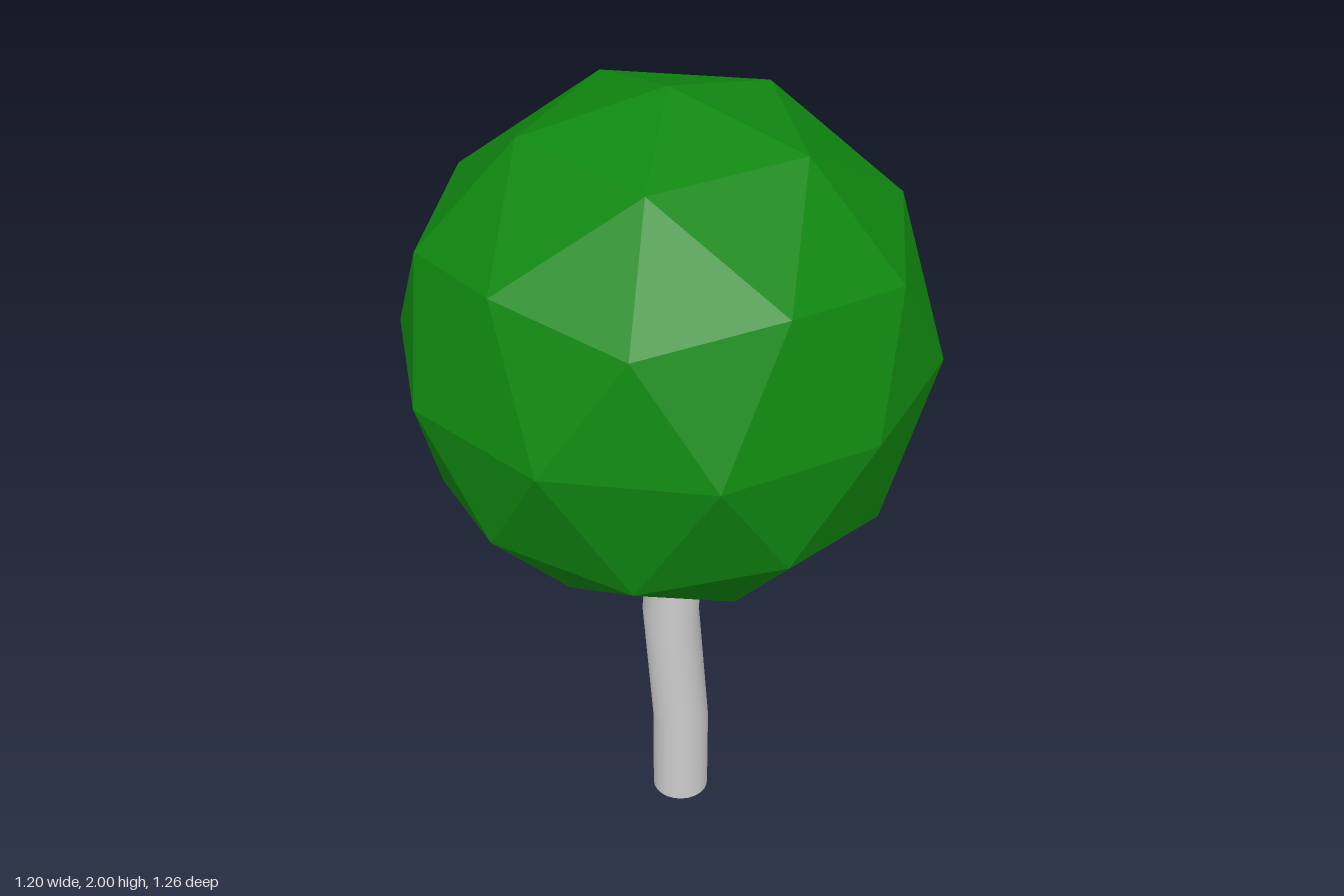
import * as THREE from 'three';

const R = 0.63, CENTRE_Y = 1.37;
const leafGreen = new THREE.MeshStandardMaterial({ name: 'leafGreen', color: 0x108810 });
const darkGreen = new THREE.MeshStandardMaterial({ name: 'darkGreen', color: 0x0a4410 });
const barkGrey = new THREE.MeshStandardMaterial({ name: 'barkGrey', color: 0xcccccc });

// Faceted ball with a corner at the top and an upper corner towards +x
function makeCrown() {
  const geo = new THREE.IcosahedronGeometry(R, 1);
  geo.rotateZ(Math.atan(2 / (1 + Math.sqrt(5))));
  geo.rotateY(Math.PI);
  geo.computeVertexNormals(); // unshared corners give flat facets
  const mesh = new THREE.Mesh(geo, leafGreen);
  mesh.name = 'crown';
  return mesh;
}

// Corner of the ball from azimuth (from +x towards +z) and latitude, in degrees
function corner(azimuth, latitude) {
  const a = THREE.MathUtils.degToRad(azimuth), l = THREE.MathUtils.degToRad(latitude);
  return new THREE.Vector3(Math.cos(l) * Math.cos(a), Math.sin(l), Math.cos(l) * Math.sin(a)).multiplyScalar(R);
}

// Dark patch lying on the facets at the back right
function makePatch() {
  const E = corner(-54, 0), V = corner(-36, -26.57), W = corner(-72, -31.72);
  const M = corner(-36, -58.28), N = corner(-108, -58.28), pole = corner(0, -90);
  const mix = (e, v, w) => new THREE.Vector3().addScaledVector(E, e).addScaledVector(V, v).addScaledVector(W, w);
  const A = mix(0.04, 0.84, 0.12), B = mix(0.22, 0.19, 0.59), E2 = mix(0.93, 0, 0.07);
  const A2 = V.clone().lerp(W, 0.14), M2 = M.clone().lerp(W, 0.07), M3 = M.clone().lerp(N, 0.07);
  const tip = M.clone().lerp(pole, 0.2);
  const triangles = [
    V, A, B, V, B, E2, V, E2, E, // broad part
    V, A2, A,
    V, M, M2, V, M2, A2,         // narrow tail
    M, M3, M2, M, tip, M3,
  ];
  const geo = new THREE.BufferGeometry().setFromPoints(triangles.map((p) => p.clone().multiplyScalar(1.004)));
  geo.computeVertexNormals();
  const mesh = new THREE.Mesh(geo, darkGreen);
  mesh.name = 'darkPatch';
  return mesh;
}

// Round trunk, bent by moving its rings
function makeTrunk() {
  const rings = [[0.02, 0, 0.027], [0.02, 0.235, 0.027], [0.01, 0.58, 0], [0.017, 0.85, 0.015]];
  const last = rings.length - 1;
  const geo = new THREE.CylinderGeometry(0.071, 0.071, last, 24, last);
  const pos = geo.attributes.position;
  for (let i = 0; i < pos.count; i++) {
    const [x, y, z] = rings[Math.round(pos.getY(i) + last / 2)];
    pos.setXYZ(i, pos.getX(i) + x, y, pos.getZ(i) + z);
  }
  // the round normals stay as made, as the bends are slight
  const mesh = new THREE.Mesh(geo, barkGrey);
  mesh.name = 'trunk';
  return mesh;
}

export function createModel() {
  const tree = new THREE.Group();
  tree.name = 'tree';
  const foliage = new THREE.Group();
  foliage.name = 'foliage';
  foliage.position.y = CENTRE_Y;
  foliage.add(makeCrown(), makePatch());
  tree.add(foliage, makeTrunk());
  return tree;
}
